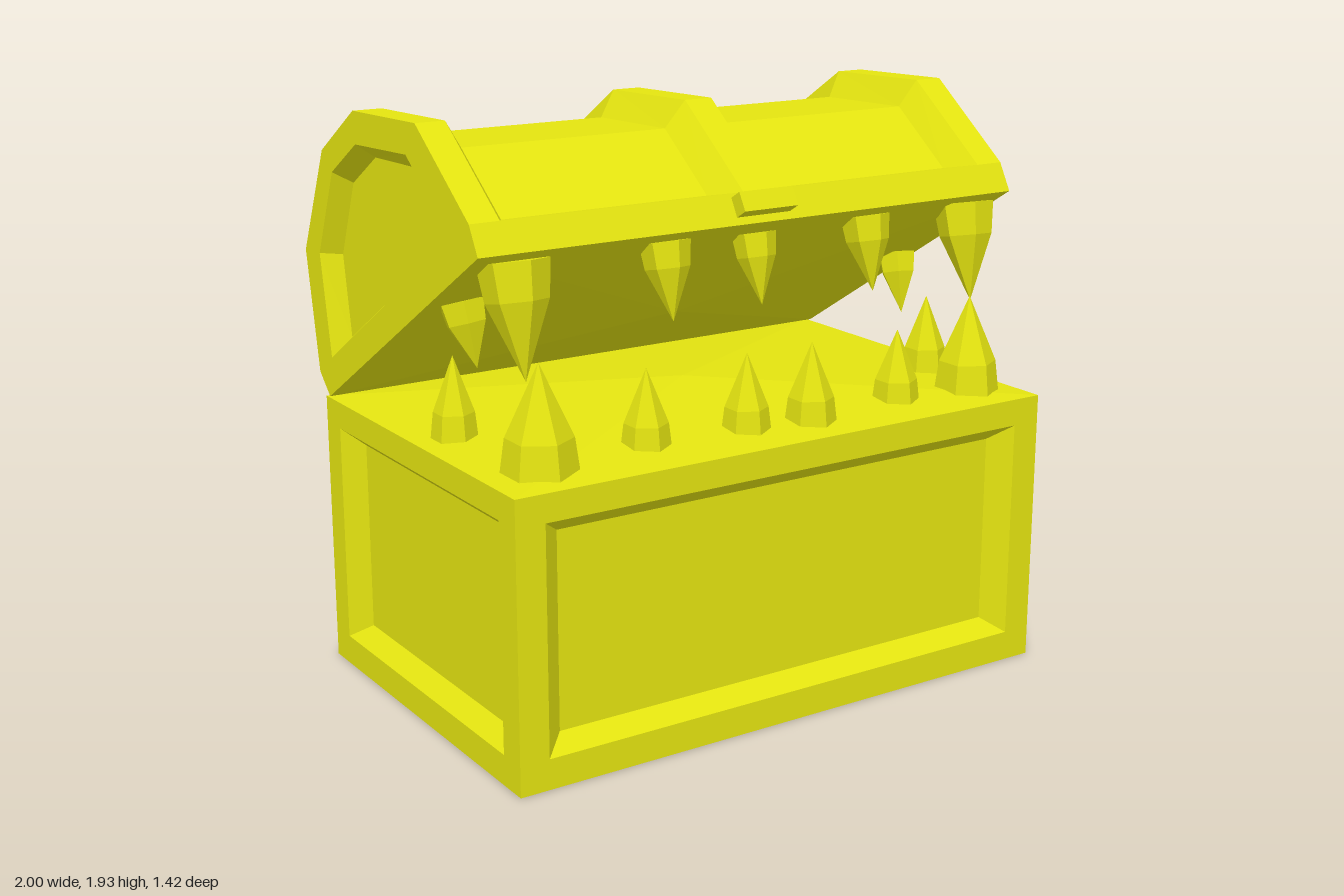
import * as THREE from 'three';

const gold = new THREE.MeshStandardMaterial({ color: 0xe4e410 });
gold.name = 'yellow';

function addMesh(parent, name, geometry) {
  const mesh = new THREE.Mesh(geometry, gold);
  mesh.name = name;
  parent.add(mesh);
  return mesh;
}

// Flat-shaded geometry from a list of triangles, each three [x, y, z] corners
function fromTriangles(tris) {
  const g = new THREE.BufferGeometry();
  g.setAttribute('position', new THREE.Float32BufferAttribute(tris.flat(2), 3));
  g.computeVertexNormals();
  return g;
}

const quad = (a, b, c, d) => [[a, b, c], [a, c, d]];
const vectors = (pts) => pts.map(([x, y]) => new THREE.Vector2(x, y));
const rect = (x0, x1, y0, y1) => [[x0, y0], [x1, y0], [x1, y1], [x0, y1]];

// Flat frame, bevel and sunken field, facing +z
function sunkenPanel(name, outline, rim, field, depth = 0.06) {
  const group = new THREE.Group();
  group.name = name;
  const frame = new THREE.Shape(vectors(outline));
  frame.holes.push(new THREE.Path(vectors(rim)));
  addMesh(group, name + 'Frame', new THREE.ShapeGeometry(frame));
  const centre = addMesh(group, name + 'Field', new THREE.ShapeGeometry(new THREE.Shape(vectors(field))));
  centre.position.z = -depth;
  const flip = THREE.ShapeUtils.isClockWise(vectors(rim));
  const tris = rim.flatMap((p, i) => {
    const k = (i + 1) % rim.length;
    const q = [[...p, 0], [...rim[k], 0], [...field[k], -depth], [...field[i], -depth]];
    return quad(...(flip ? q.reverse() : q));
  });
  addMesh(group, name + 'Bevel', fromTriangles(tris));
  return group;
}

// Shallow four-sided pyramid over a rectangle of corners
function pyramid(corners, apex) {
  return fromTriangles(corners.map((c, i) => [c, corners[(i + 1) % 4], apex]));
}

// Six-sided fang from its root to its tip
function addTooth(parent, name, root, tip, radius) {
  const a = new THREE.Vector3(...root);
  const axis = new THREE.Vector3(...tip).sub(a);
  const h = axis.length();
  const profile = vectors([[0, 0], [radius, 0], [radius * 0.87, h * 0.33], [0, h]]);
  const g = new THREE.LatheGeometry(profile, 6).toNonIndexed();
  g.computeVertexNormals();
  const tooth = addMesh(parent, name, g);
  tooth.position.copy(a);
  tooth.quaternion.setFromUnitVectors(new THREE.Vector3(0, 1, 0), axis.normalize());
}

const FRONT = 0.71, BACK = -0.59, TOP = 0.93;

function makeBase() {
  const base = new THREE.Group();
  base.name = 'chestBase';
  const wide = () => [rect(-1, 1, 0, TOP), rect(-0.9, 0.9, 0.1, 0.84), rect(-0.83, 0.83, 0.15, 0.79)];
  const side = () => [rect(-0.65, 0.65, 0, TOP), rect(-0.55, 0.55, 0.1, 0.84), rect(-0.48, 0.48, 0.15, 0.79)];
  const mid = (FRONT + BACK) / 2;
  const walls = [
    ['frontPanel', wide(), 0, 0, FRONT], ['backPanel', wide(), Math.PI, 0, BACK],
    ['leftPanel', side(), Math.PI / 2, 1, mid], ['rightPanel', side(), -Math.PI / 2, -1, mid],
  ];
  for (const [name, loops, turn, x, z] of walls) {
    const wall = sunkenPanel(name, ...loops);
    wall.rotation.y = turn;
    wall.position.set(x, 0, z);
    base.add(wall);
  }
  const bottom = addMesh(base, 'baseBottom', new THREE.PlaneGeometry(2, FRONT - BACK));
  bottom.rotation.x = Math.PI / 2;
  bottom.position.z = mid;
  addMesh(base, 'mouthFloor', pyramid(
    [[-1, TOP, FRONT], [1, TOP, FRONT], [1, TOP, BACK], [-1, TOP, BACK]], [0, 1.0, mid]));

  // Lower teeth: x, z, height, radius
  const teeth = [
    [-0.82, 0.54, 0.34, 0.12], [-0.43, 0.51, 0.26, 0.08], [-0.07, 0.53, 0.26, 0.08],
    [0.16, 0.56, 0.27, 0.085], [0.54, 0.52, 0.25, 0.08], [0.83, 0.54, 0.33, 0.11],
    [0.88, 0.26, 0.27, 0.08], [-0.87, 0.09, 0.27, 0.075],
  ];
  for (const [x, z, h, r] of teeth) {
    addTooth(base, 'lowerTooth', [x, TOP, z], [x, TOP + h, z], r);
  }
  return base;
}

function makeLid() {
  const lid = new THREE.Group();
  lid.name = 'lid';
  // Cross-sections as [z, y], from the front lip over the top to the hinge
  const lipFront = [0.525, 1.595], bandFront = [0.475, 1.685];
  const bandBack = [-0.633, 1.005], lipBack = [-0.56, 0.935];
  const crown = [[0.148, 1.933], [-0.286, 1.92], [-0.536, 1.765], [-0.706, 1.41]];
  const rib = [lipFront, bandFront, bandFront, ...crown, bandBack, bandBack, lipBack];
  const sunk = [lipFront, bandFront, [0.37, 1.665], [0.13, 1.845], [-0.26, 1.835],
    [-0.49, 1.7], [-0.637, 1.395], [-0.575, 1.07], bandBack, lipBack];

  // Shell lofted along x: ribs at both ends and in the middle
  const half = [[0.05, rib], [0.115, sunk], [0.84, sunk], [0.9, rib], [1, rib]];
  const sections = [...half.map(([x, p]) => [-x, p]).reverse(), ...half]
    .map(([x, p]) => p.map(([z, y]) => [x, y, z]));
  const tris = [];
  for (let i = 0; i < sections.length - 1; i++) {
    const a = sections[i], b = sections[i + 1];
    for (let j = 0; j < rib.length - 1; j++) tris.push(...quad(a[j], b[j], b[j + 1], a[j + 1]));
  }
  addMesh(lid, 'lidShell', fromTriangles(tris));

  // End panels
  const outline = [lipFront, bandFront, ...crown, bandBack, lipBack];
  const rim = [[0.36, 1.62], [0.08, 1.831], [-0.276, 1.816], [-0.464, 1.703], [-0.592, 1.417], [-0.53, 1.075]];
  const field = [[0.285, 1.617], [0.055, 1.78], [-0.26, 1.772], [-0.434, 1.667], [-0.54, 1.415], [-0.495, 1.145]];
  for (const s of [1, -1]) {
    const turned = [outline, rim, field].map((loop) => loop.map(([z, y]) => [-s * z, y]));
    const end = sunkenPanel(s > 0 ? 'lidLeftEnd' : 'lidRightEnd', ...turned);
    end.rotation.y = s * Math.PI / 2;
    end.position.x = s;
    lid.add(end);
  }

  // Roof of the mouth, bulging slightly downward
  const [fz, fy] = lipFront, [bz, by] = lipBack;
  addMesh(lid, 'mouthRoof', pyramid(
    [[-1, by, bz], [1, by, bz], [1, fy, fz], [-1, fy, fz]], [0, 1.21, 0.015]));

  const clasp = addMesh(lid, 'clasp', new THREE.BoxGeometry(0.2, 0.065, 0.08));
  clasp.position.set(0, 1.65, 0.505);
  clasp.rotation.x = -0.53;

  // Upper teeth: root x, y, z, tip x, y, z, radius
  const teeth = [
    [-0.85, 1.56, 0.455, -0.85, 1.21, 0.52, 0.11], [-0.33, 1.56, 0.46, -0.33, 1.32, 0.51, 0.08],
    [0, 1.55, 0.46, 0, 1.33, 0.51, 0.07], [0.44, 1.56, 0.46, 0.44, 1.32, 0.51, 0.08],
    [0.86, 1.56, 0.455, 0.85, 1.24, 0.52, 0.1],
    [-0.88, 1.39, 0.18, -0.86, 1.19, 0.235, 0.075], [0.89, 1.32, 0.08, 0.87, 1.12, 0.14, 0.07],
  ];
  for (const t of teeth) addTooth(lid, 'upperTooth', t.slice(0, 3), t.slice(3, 6), t[6]);
  return lid;
}

export function createModel() {
  const model = new THREE.Group();
  model.name = 'toothedChest';
  model.add(makeBase(), makeLid());
  return model;
}
